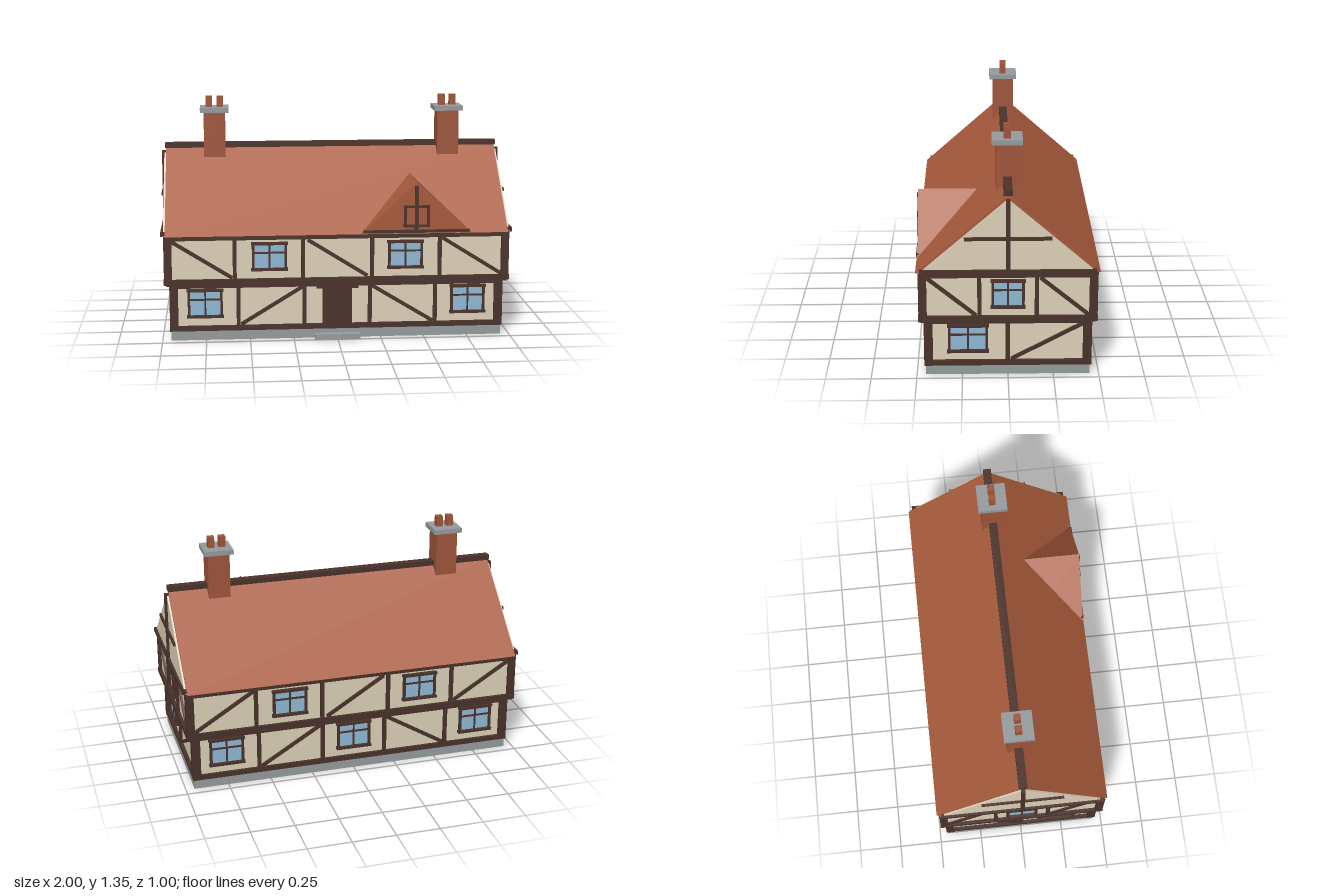
import * as THREE from 'three';

const mat = (name, color) => {
  const m = new THREE.MeshStandardMaterial({ color });
  m.name = name;
  return m;
};

export function createModel() {
  const tile = mat('roof tile', 0xa85a3c);
  const brick = mat('chimney brick', 0xa0553a);
  const plaster = mat('plaster', 0xddd1b9);
  const timber = mat('dark timber', 0x4a322a);
  const glass = mat('window glass', 0x8fb9d6);
  const stone = mat('grey stone', 0x959b9e);

  const house = new THREE.Group();
  house.name = 'timberFramedHouse';

  const group = (name) => {
    const g = new THREE.Group();
    g.name = name;
    house.add(g);
    return g;
  };
  const add = (parent, name, geo, material) => {
    const m = new THREE.Mesh(geo, material);
    m.name = name;
    parent.add(m);
    return m;
  };
  // box given by its lower and upper limits on each axis
  const box = (parent, name, material, x0, x1, y0, y1, z0, z1) => {
    const g = new THREE.BoxGeometry(x1 - x0, y1 - y0, z1 - z0);
    g.translate((x0 + x1) / 2, (y0 + y1) / 2, (z0 + z1) / 2);
    return add(parent, name, g, material);
  };
  // triangle (in x, y) extruded along z
  const prism = (halfWidth, y0, y1, length) => {
    const s = new THREE.Shape([
      new THREE.Vector2(-halfWidth, y0), new THREE.Vector2(halfWidth, y0), new THREE.Vector2(0, y1)]);
    return new THREE.ExtrudeGeometry(s, { depth: length, bevelEnabled: false });
  };

  // Tools for one wall: u runs along the wall (x or z), v is height,
  // "out" is the distance of the plaster from the centre
  const wall = (parent, axis, side, out) => {
    const put = (name, material, u, v, w, h, depth, angle = 0) => {
      const inset = 0.01;
      const d = side * (out + (depth - inset) / 2), t = depth + inset;
      const g = axis === 'z' ? new THREE.BoxGeometry(w, h, t) : new THREE.BoxGeometry(t, h, w);
      if (axis === 'z') g.rotateZ(angle).translate(u, v, d);
      else g.rotateX(-angle).translate(d, v, u);
      return add(parent, name, g, material);
    };
    const rect = (name, u0, u1, v0, v1, depth = 0.015, material = timber) =>
      put(name, material, (u0 + u1) / 2, (v0 + v1) / 2, u1 - u0, v1 - v0, depth);
    const brace = (u0, v0, u1, v1) =>
      put('brace', timber, (u0 + u1) / 2, (v0 + v1) / 2, Math.hypot(u1 - u0, v1 - v0), 0.02, 0.012,
        Math.atan2(v1 - v0, u1 - u0));
    const window = (u, v0, v1, w) => {
      const h = w / 2, bar = v0 + (v1 - v0) * 0.64;
      rect('windowGlass', u - h, u + h, v0, v1, 0.006, glass);
      for (const s of [-1, 1]) rect('windowJamb', u + s * h - 0.007, u + s * h + 0.007, v0, v1, 0.018);
      rect('windowSill', u - h - 0.012, u + h + 0.012, v0 - 0.007, v0 + 0.008, 0.024);
      rect('windowHead', u - h - 0.012, u + h + 0.012, v1 - 0.008, v1 + 0.007, 0.022);
      rect('windowMullion', u - 0.005, u + 0.005, v0, v1, 0.012);
      rect('windowTransom', u - h, u + h, bar - 0.005, bar + 0.005, 0.012);
    };
    const posts = (us, w, v0, v1) => us.forEach((u) => rect('post', u - w / 2, u + w / 2, v0, v1));
    return { rect, brace, window, posts };
  };

  // Base and plaster bodies
  const base = group('base');
  box(base, 'plinth', stone, -0.95, 0.95, 0, 0.055, -0.45, 0.45);
  box(base, 'doorStep', stone, -0.13, 0.13, 0, 0.03, 0.44, 0.5);
  const body = group('plasterWalls');
  box(body, 'groundFloor', plaster, -0.935, 0.935, 0.055, 0.33, -0.44, 0.44);
  box(body, 'upperFloor', plaster, -0.968, 0.968, 0.325, 0.615, -0.47, 0.47);

  // Corner posts and the beams that run round the house
  const frame = group('mainFrame');
  for (const sx of [-1, 1]) for (const sz of [-1, 1]) {
    const corner = (name, x, z, w, y0, y1) =>
      box(frame, name, timber, sx * x - w / 2, sx * x + w / 2, y0, y1, sz * z - w / 2, sz * z + w / 2);
    corner('groundCornerPost', 0.933, 0.435, 0.048, 0.055, 0.33);
    corner('upperCornerPost', 0.962, 0.462, 0.045, 0.33, 0.615);
  }
  const ring = (name, x, z, y0, y1) => box(frame, name, timber, -x, x, y0, y1, -z, z);
  ring('sillBeam', 0.954, 0.456, 0.054, 0.083);
  ring('groundTopBeam', 0.954, 0.458, 0.305, 0.325);
  ring('jettyBeam', 0.975, 0.475, 0.322, 0.336);
  ring('upperSillBeam', 0.987, 0.487, 0.333, 0.362);
  ring('wallPlate', 0.985, 0.485, 0.587, 0.614);

  // Long walls, front and back
  for (const side of [1, -1]) {
    const g = group(side > 0 ? 'frontWall' : 'backWall');
    const low = wall(g, 'z', side, 0.44), up = wall(g, 'z', side, 0.47);
    low.posts([-0.566, -0.188, 0.188, 0.566], 0.022, 0.06, 0.32);
    low.brace(-0.55, 0.088, -0.2, 0.302);
    low.brace(0.55, 0.088, 0.2, 0.302);
    for (const s of [-1, 1]) low.window(s * 0.755, 0.138, 0.292, 0.185);
    if (side > 0) {
      low.rect('door', -0.085, 0.085, 0.055, 0.3, 0.012);
      low.rect('doorLintel', -0.12, 0.12, 0.293, 0.31, 0.025);
    } else low.window(0, 0.138, 0.292, 0.185);

    up.posts([-0.585, -0.197, 0.197, 0.585], 0.022, 0.34, 0.61);
    for (const u of [-0.77, 0, 0.77]) up.brace(u - 0.17, 0.582, u + 0.17, 0.368);
    for (const s of [-1, 1]) up.window(s * 0.388, 0.415, 0.565, 0.185);
  }

  // End walls with their gables
  for (const side of [1, -1]) {
    const g = group(side > 0 ? 'leftEndWall' : 'rightEndWall');
    const low = wall(g, 'x', side, 0.935), up = wall(g, 'x', side, 0.968), top = wall(g, 'x', side, 0.986);
    low.posts([0], 0.024, 0.06, 0.32);
    low.window(0.218, 0.138, 0.29, 0.205);
    low.brace(-0.02, 0.088, -0.41, 0.298);
    up.posts([-0.155, 0.155], 0.022, 0.34, 0.61);
    up.window(0, 0.415, 0.567, 0.165);
    up.brace(0.435, 0.582, 0.175, 0.366);
    up.brace(-0.175, 0.582, -0.435, 0.366);

    const gable = prism(0.478, 0.615, 1.033, 0.014);
    gable.rotateY(Math.PI / 2).translate(side > 0 ? 0.972 : -0.986, 0, 0);
    add(g, 'gablePlaster', gable, plaster);
    top.rect('gableTieBeam', -0.476, 0.476, 0.612, 0.636, 0.014);
    top.rect('gableCollar', -0.235, 0.235, 0.804, 0.822, 0.012);
    top.rect('gableKingPost', -0.012, 0.012, 0.63, 1.033, 0.014);
  }

  // Main roof and ridge
  const roof = group('roof');
  const roofGeo = prism(0.498, 0.613, 1.052, 1.95);
  roofGeo.rotateY(Math.PI / 2).translate(-0.975, 0, 0);
  add(roof, 'mainRoof', roofGeo, tile);
  box(roof, 'ridgeBeam', timber, -0.98, 0.98, 1.05, 1.08, -0.024, 0.024);

  // Dormer
  const dormer = group('dormer');
  const dormerGeo = prism(0.318, 0.614, 0.907, 0.33);
  dormerGeo.translate(0.448, 0, 0.165);
  add(dormer, 'dormerRoof', dormerGeo, tile);
  const face = wall(dormer, 'z', 1, 0.495);
  face.rect('dormerSill', 0.145, 0.752, 0.617, 0.635, 0.006);
  face.rect('dormerPost', 0.437, 0.459, 0.63, 0.885, 0.006);
  for (const u of [0.382, 0.514]) face.rect('dormerWindowJamb', u - 0.008, u + 0.008, 0.65, 0.775, 0.008);
  for (const v of [0.657, 0.768]) face.rect('dormerWindowRail', 0.375, 0.522, v - 0.007, v + 0.007, 0.008);

  // Chimneys
  for (const s of [-1, 1]) {
    const c = group(s > 0 ? 'leftChimney' : 'rightChimney');
    box(c, 'chimneyStack', brick, -0.063, 0.063, 1.0, 1.262, -0.064, 0.064);
    box(c, 'chimneyCap', stone, -0.084, 0.084, 1.262, 1.29, -0.084, 0.084);
    for (const p of [-0.032, 0.032])
      box(c, 'chimneyPot', brick, p - 0.019, p + 0.019, 1.29, 1.353, -0.019, 0.019);
    c.position.x = s * 0.689;
  }
  return house;
}
